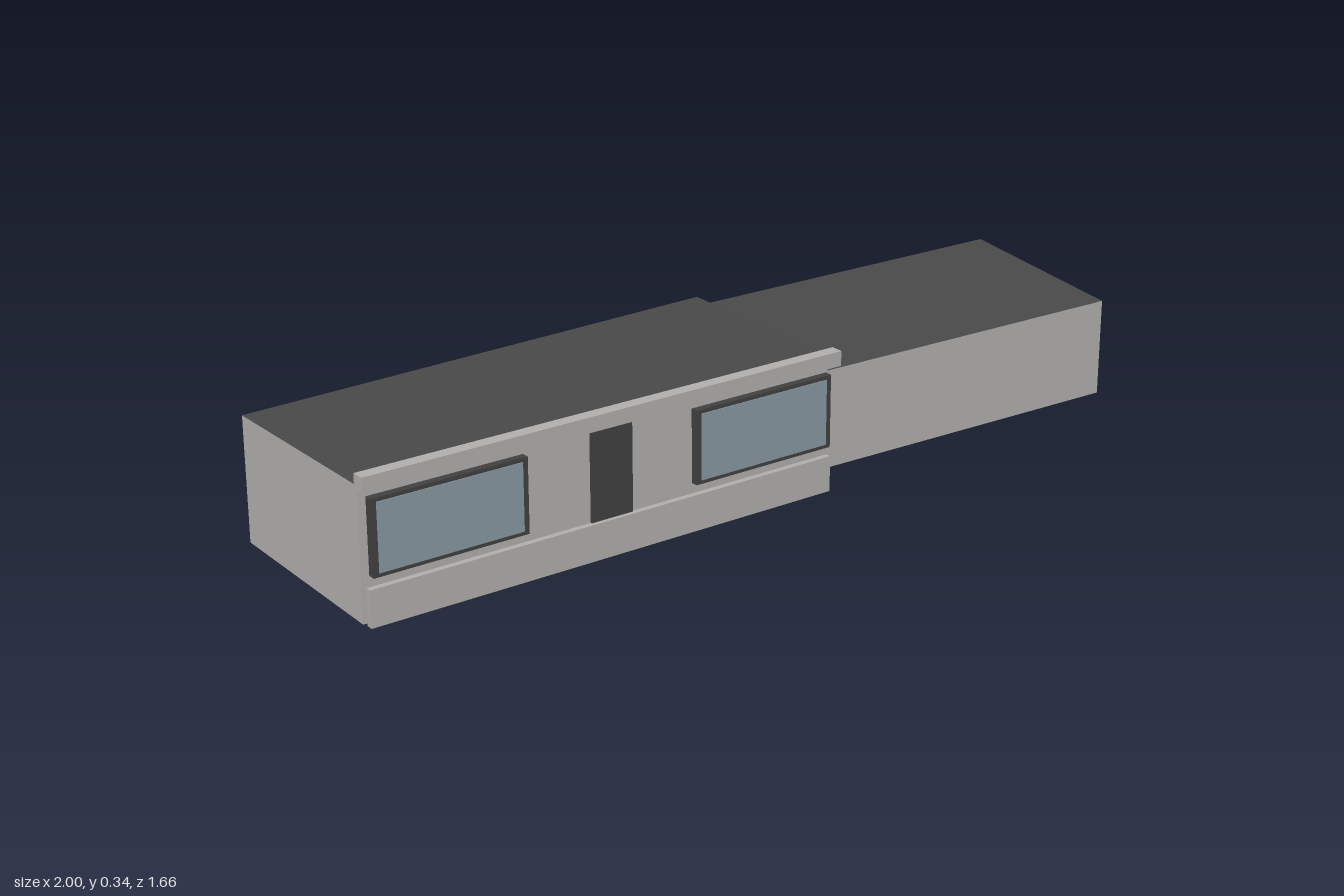
import * as THREE from 'three';

const mat = (name, color, side = THREE.FrontSide) => {
  const m = new THREE.MeshStandardMaterial({ color, side });
  m.name = name;
  return m;
};

export function createModel() {
  const wall = mat('grey render', 0xb0aeac, THREE.DoubleSide);
  const roof = mat('dark roofing', 0x484848, THREE.DoubleSide);
  const frame = mat('dark frame', 0x404040);
  const glass = mat('blue grey glass', 0x8897a0);
  const model = new THREE.Group();
  model.name = 'bungalow';

  // Flat-shaded surface from a list of four-cornered faces
  const surface = (name, quads, material) => {
    const points = quads.flatMap(([a, b, c, d]) => [a, b, c, a, c, d]).flat();
    const geo = new THREE.BufferGeometry();
    geo.setAttribute('position', new THREE.Float32BufferAttribute(points, 3));
    geo.computeVertexNormals();
    const mesh = new THREE.Mesh(geo, material);
    mesh.name = name;
    return mesh;
  };

  // Hollow block, open underneath; corners [x, z, height] run
  // back left, front left, front right, back right
  const block = (name, corners) => {
    const group = new THREE.Group();
    group.name = name;
    const top = corners.map(([x, z, h]) => [x, h, z]);
    const foot = corners.map(([x, z]) => [x, 0, z]);
    const sides = top.map((t, i) => {
      const j = (i + 1) % 4;
      return [foot[i], foot[j], top[j], t];
    });
    group.add(surface(name + 'Walls', sides, wall), surface(name + 'Roof', [top], roof));
    model.add(group);
  };

  block('house', [[-1, 0.37, 0.295], [-0.73, 0.79, 0.305], [0.265, 0.13, 0.325], [0, -0.295, 0.315]]);
  block('garage', [[0.015, -0.365, 0.271], [0.265, 0.03, 0.24], [1, -0.43, 0.24], [0.76, -0.83, 0.276]]);

  // Facade: local x runs along the front wall, local z points outwards
  const facade = new THREE.Group();
  facade.name = 'facade';
  facade.position.set(-0.73, 0, 0.79);
  facade.rotation.y = Math.atan2(0.66, 0.995);
  model.add(facade);

  const slab = (name, [x0, x1], [y0, y1], [z0, z1], material) => {
    const mesh = new THREE.Mesh(new THREE.BoxGeometry(x1 - x0, y1 - y0, z1 - z0), material);
    mesh.position.set((x0 + x1) / 2, (y0 + y1) / 2, (z0 + z1) / 2);
    mesh.name = name;
    facade.add(mesh);
  };

  slab('frontPanel', [0.004, 1.19], [0, 0.305], [0.01, 0.013], wall);
  slab('plinth', [0.004, 1.19], [0, 0.085], [0.01, 0.027], wall);
  slab('fascia', [-0.01, 1.206], [0.302, 0.337], [0.009, 0.04], wall);
  slab('door', [0.548, 0.655], [0.085, 0.29], [0.01, 0.017], frame);

  // Two projecting windows
  for (const [x0, x1] of [[0.012, 0.383], [0.814, 1.185]]) {
    slab('windowFrame', [x0, x1], [0.11, 0.283], [0.01, 0.031], frame);
    slab('windowPane', [x0 + 0.013, x1 - 0.013], [0.119, 0.274], [0.03, 0.033], glass);
  }
  return model;
}
